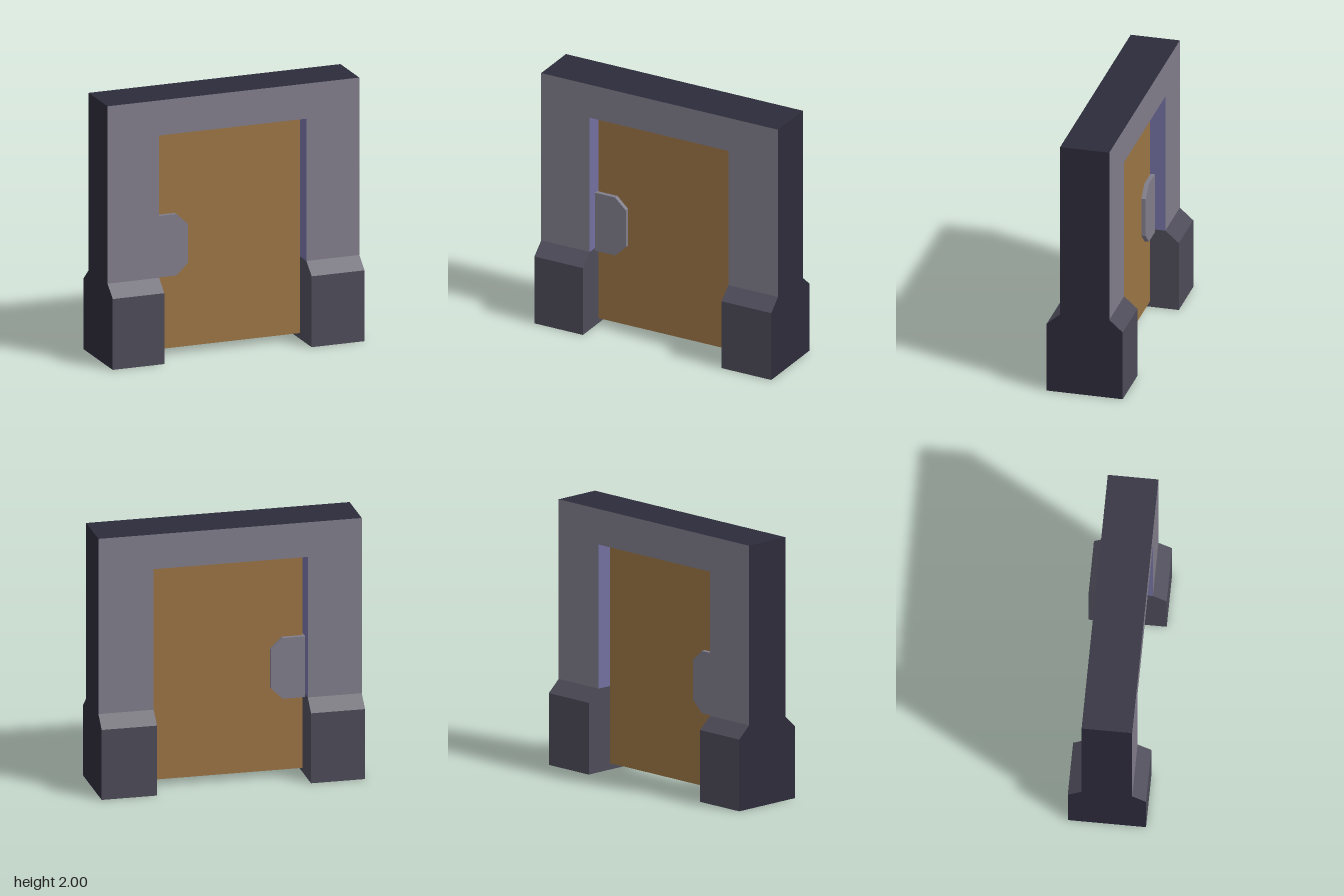
import * as THREE from 'three';

const mat = (color) => new THREE.MeshStandardMaterial({ color, flatShading: true });
const STONE = 0, DARK = 1, REVEAL = 2, BASE = 3;

// Flat outline extruded symmetrically about z = 0
function slab(points, depth) {
  const shape = new THREE.Shape(points.map(([x, y]) => new THREE.Vector2(x, y)));
  const geo = new THREE.ExtrudeGeometry(shape, { depth, bevelEnabled: false });
  return geo.translate(0, 0, -depth / 2);
}

// Give each triangle a material index chosen from its centre and normal
function paint(geo, rule) {
  geo.clearGroups();
  const p = geo.attributes.position;
  const tri = new THREE.Triangle(), centre = new THREE.Vector3(), normal = new THREE.Vector3();
  for (let i = 0; i < p.count; i += 3) {
    tri.setFromAttributeAndIndices(p, i, i + 1, i + 2);
    tri.getMidpoint(centre);
    tri.getNormal(normal);
    geo.addGroup(i, 3, rule(centre, normal));
  }
  return geo;
}

export function createModel() {
  const group = new THREE.Group();
  const materials = [mat(0x807d8b), mat(0x2d2b3a), mat(0x7270a0), mat(0x4d4b58)];
  const add = (name, geo, material) => {
    const mesh = new THREE.Mesh(geo, material);
    mesh.name = name;
    group.add(mesh);
  };

  const inL = -0.59, inR = 0.58, footTop = 0.635, depth = 0.375;

  // Door frame: two posts and a lintel in one outline
  const frame = slab([
    [-1, footTop], [inL, footTop], [inL, 1.73], [inR, 1.73],
    [inR, footTop], [1, footTop], [1, 2], [-1, 2],
  ], depth);
  add('frame', paint(frame, (c, n) => {
    if (Math.abs(n.z) > 0.5) return STONE;
    return Math.abs(c.x) < 0.7 && c.y < 1.8 ? REVEAL : DARK;
  }), materials);

  // Wider feet with sloped shoulders
  const profile = [
    [-0.29, 0], [0.29, 0], [0.29, 0.545], [depth / 2, footTop],
    [-depth / 2, footTop], [-0.29, 0.545],
  ];
  for (const [name, x0, x1] of [['rightFoot', -1, inL], ['leftFoot', inR, 1]]) {
    const foot = slab(profile, x1 - x0).rotateY(Math.PI / 2).translate((x0 + x1) / 2, 0, 0);
    const outer = Math.sign(x0 + x1);
    add(name, paint(foot, (c, n) => (n.x * outer > 0.5 ? DARK : BASE)), materials);
  }

  // Door panel, recessed on both faces
  const door = new THREE.BoxGeometry(1.152, 1.67, 0.147);
  door.translate(-0.002, 0.885, 0);
  add('door', door, mat(0x9b7444));

  // Lock plate with clipped corners, showing on both faces
  add('lockPlate', slab([
    [inL, 0.612], [-0.42, 0.612], [-0.33, 0.70],
    [-0.33, 1.0], [-0.42, 1.085], [inL, 1.085],
  ], 0.215), materials[STONE]);

  return group;
}
